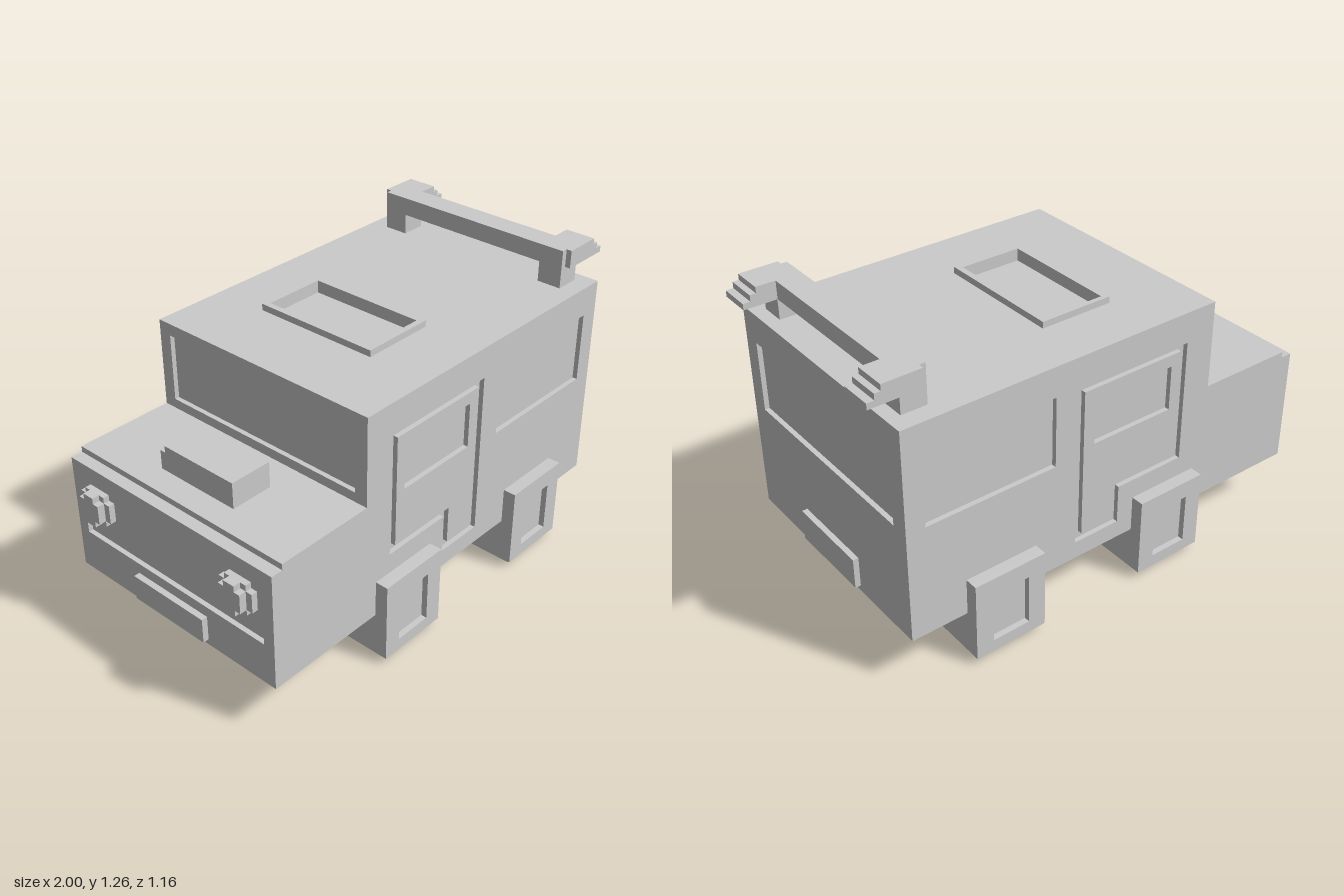
import * as THREE from 'three';

const mat = new THREE.MeshStandardMaterial({ color: 0xcccccc, flatShading: true });
const W = 0.525; // half width of the body
const D = 0.02; // depth of recessed windows and grooves

function add(parent, name, geometry) {
  const mesh = new THREE.Mesh(geometry, mat);
  mesh.name = name;
  parent.add(mesh);
  return mesh;
}

// Box given by its minimum and maximum on each axis
function box(parent, name, x0, x1, y0, y1, z0, z1) {
  const g = new THREE.BoxGeometry(x1 - x0, y1 - y0, z1 - z0);
  g.translate((x0 + x1) / 2, (y0 + y1) / 2, (z0 + z1) / 2);
  return add(parent, name, g);
}

const rect = (a0, a1, b0, b1) => [[a0, b0], [a1, b0], [a1, b1], [a0, b1]];

// Flat plate with openings, extruded from "start" along z
function plate(outline, holes, start, depth) {
  const toVectors = (pts) => pts.map((p) => new THREE.Vector2(p[0], p[1]));
  const shape = new THREE.Shape(toVectors(outline));
  for (const h of holes) shape.holes.push(new THREE.Path(toVectors(h)));
  const g = new THREE.ExtrudeGeometry(shape, { depth, bevelEnabled: false });
  return g.translate(0, 0, start);
}

// Plates whose thickness runs along x or y
const plateX = (o, h, start, depth) => plate(o, h, start, depth).rotateY(Math.PI / 2);
const plateY = (o, h, start, depth) => plate(o, h, start, depth).rotateX(-Math.PI / 2);

function buildBody() {
  const body = new THREE.Group();
  body.name = 'body';
  const inner = W - D;

  // Core behind all recesses
  const core = [[-0.925, 0.215], [0.9, 0.215], [0.9, 1.08], [-0.455, 1.08],
    [-0.455, 0.735], [-0.895, 0.735], [-0.895, 0.71], [-0.925, 0.71]];
  add(body, 'bodyCore', plate(core, [], -inner, 2 * inner));

  // Side panels with door and window openings, door panels set in a groove
  const side = [[-0.945, 0.215], [0.92, 0.215], [0.92, 1.105], [-0.475, 1.105],
    [-0.475, 0.735], [-0.895, 0.735], [-0.895, 0.71], [-0.945, 0.71]];
  const doorway = [[-0.345, 0.455], [-0.03, 0.455], [-0.03, 0.29],
    [0.18, 0.29], [0.18, 0.975], [-0.345, 0.975]];
  const door = [[-0.315, 0.48], [0, 0.48], [0, 0.32],
    [0.15, 0.32], [0.15, 0.95], [-0.315, 0.95]];
  const sideWindow = rect(0.28, 0.84, 0.685, 0.98);
  const doorWindow = rect(-0.27, 0.1, 0.71, 0.9);
  for (const [label, z] of [['front', inner], ['back', -W]]) {
    add(body, label + 'SidePanel', plate(side, [doorway, sideWindow], z, D));
    add(body, label + 'Door', plate(door, [doorWindow], z, D));
  }

  // End panels and windscreen frame
  add(body, 'rearPanel', plateX(rect(-inner, inner, 0.215, 1.105),
    [rect(-0.45, 0.45, 0.685, 0.98)], 0.9, D));
  add(body, 'windscreenFrame', plateX(rect(-inner, inner, 0.735, 1.105),
    [rect(-0.47, 0.47, 0.775, 1.055)], -0.475, D));
  add(body, 'nosePanel', plateX(rect(-inner, inner, 0.215, 0.71),
    [rect(-0.475, 0.475, 0.39, 0.44)], -0.945, D));

  // Roof with hatch opening and raised rim
  const hatch = rect(-0.135, 0.13, -0.235, 0.27);
  add(body, 'roof', plateY(rect(-0.455, 0.9, -inner, inner), [hatch], 1.08, 0.025));
  add(body, 'hatchRim', plateY(rect(-0.16, 0.155, -0.26, 0.29), [hatch], 1.105, 0.027));

  // Number plates and hood scoop
  box(body, 'frontPlate', -0.97, -0.945, 0.24, 0.345, -0.185, 0.185);
  box(body, 'rearPlate', 0.92, 0.943, 0.24, 0.37, -0.185, 0.185);
  box(body, 'scoopBase', -0.79, -0.61, 0.735, 0.815, -0.19, 0.185);
  box(body, 'scoopTop', -0.79, -0.61, 0.815, 0.843, -0.165, 0.185);
  return body;
}

function buildHeadlight(z) {
  const light = new THREE.Group();
  light.name = 'headlight';
  // Plus-shaped bezel with a smaller lens
  box(light, 'bezelTall', -0.97, -0.945, 0.505, 0.635, z - 0.052, z + 0.052);
  box(light, 'bezelWide', -0.97, -0.945, 0.53, 0.61, z - 0.08, z + 0.08);
  box(light, 'lens', -1, -0.97, 0.505, 0.635, z - 0.026, z + 0.026);
  box(light, 'lensWide', -1, -0.97, 0.53, 0.61, z - 0.052, z + 0.052);
  return light;
}

function buildWheel(x, s) {
  const wheel = new THREE.Group();
  wheel.name = 'wheel';
  const zs = (a, b) => (s > 0 ? [a, b] : [-b, -a]);
  box(wheel, 'wheelBlock', x - 0.157, x + 0.157, 0.03, 0.37, ...zs(0.315, 0.555));
  box(wheel, 'tread', x - 0.13, x + 0.13, 0, 0.03, ...zs(0.345, 0.555));
  // Outer face with recessed hub
  add(wheel, 'wheelFace', plate(rect(x - 0.157, x + 0.157, 0.03, 0.37),
    [rect(x - 0.082, x + 0.082, 0.08, 0.295)], s > 0 ? 0.555 : -0.58, 0.025));
  return wheel;
}

function buildRoofBar() {
  const bar = new THREE.Group();
  bar.name = 'roofBar';
  box(bar, 'crossBar', 0.76, 0.865, 1.19, 1.265, -0.45, 0.45);
  // Stepped arm profile reaching backwards
  const arm = [[0.785, 1.19], [1, 1.19], [1, 1.215], [0.97, 1.215], [0.97, 1.24],
    [0.945, 1.24], [0.945, 1.265], [0.785, 1.265]];
  for (const s of [-1, 1]) {
    box(bar, 'post', 0.76, 0.865, 1.105, 1.19, s > 0 ? 0.345 : -0.45, s > 0 ? 0.45 : -0.345);
    add(bar, 'arm', plate(arm, [], s > 0 ? 0.343 : -0.473, 0.13));
  }
  return bar;
}

export function createModel() {
  const model = new THREE.Group();
  model.name = 'boxyVan';
  model.add(buildBody(), buildRoofBar());
  for (const s of [-1, 1]) {
    model.add(buildHeadlight(s * 0.372));
    for (const x of [-0.263, 0.525]) model.add(buildWheel(x, s));
  }
  return model;
}
